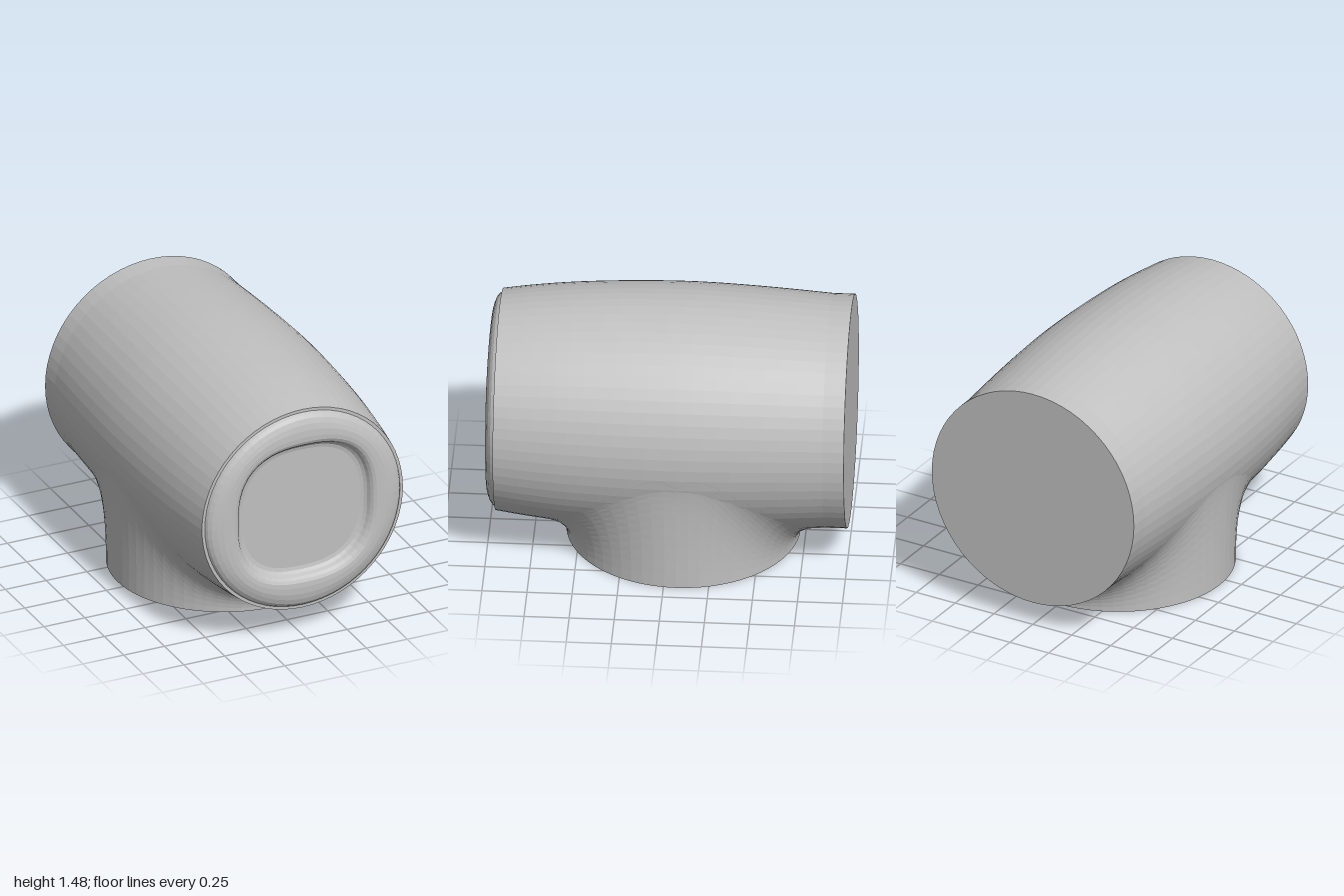
import * as THREE from 'three';
import { ParametricGeometry } from 'three/addons/geometries/ParametricGeometry.js';

const AXIS_Y = 0.786; // height of the barrel axis
const NECK_Z = -0.07; // centre of the neck along the barrel
const NECK_R = 0.65;
const SEGMENTS = 64;

const pts = (list) => list.map(([r, h]) => new THREE.Vector2(r, h));

// Barrel outline: radius against position along z
const outline = new THREE.SplineCurve(pts([
  [0.65, -0.88], [0.669, -0.6], [0.684, -0.3], [0.689, -0.05],
  [0.682, 0.25], [0.664, 0.55], [0.64, 0.78], [0.616, 0.95],
])).getPoints(24);

function barrelRadius(z) {
  if (z <= outline[0].y) return outline[0].x;
  for (let i = 1; i < outline.length; i++) {
    const a = outline[i - 1], b = outline[i];
    if (z <= b.y) return a.x + (b.x - a.x) * (z - a.y) / (b.y - a.y);
  }
  return outline[outline.length - 1].x;
}

// Height of the barrel's lower half above a point of the ground plan
function barrelUnderside(x, z) {
  const r = barrelRadius(z);
  return AXIS_Y - Math.sqrt(Math.max(0, r * r - x * x));
}

export function createModel() {
  const model = new THREE.Group();
  model.name = 'pipeTee';
  const grey = new THREE.MeshStandardMaterial({ color: 0xc0c0c0, flatShading: true });
  grey.name = 'light grey';

  function add(name, geometry) {
    const mesh = new THREE.Mesh(geometry, grey);
    mesh.name = name;
    model.add(mesh);
    return mesh;
  }

  // Barrel with a flat closed back
  const barrel = add('barrel', new THREE.LatheGeometry(
    [...pts([[0, -1], [0.65, -1]]), ...outline, ...pts([[0.585, 0.95]])], SEGMENTS));
  barrel.rotation.x = Math.PI / 2;
  barrel.position.y = AXIS_Y;

  // Front cap: rounded rim around a shallow, softly squared recess
  const capGeometry = new THREE.LatheGeometry(pts([
    [0.598, 0.95], [0.588, 0.966], [0.57, 0.98], [0.54, 0.991], [0.505, 0.998], [0.465, 1],
    [0.435, 0.998], [0.418, 0.99], [0.405, 0.975], [0.395, 0.955], [0.38, 0.942],
    [0.36, 0.937], [0, 0.937],
  ]), SEGMENTS);
  const p = capGeometry.attributes.position;
  for (let i = 0; i < p.count; i++) {
    const x = p.getX(i), z = p.getZ(i), r = Math.hypot(x, z);
    if (r < 1e-6) continue;
    const n = 2.6;
    const square = (Math.abs(x / r) ** n + Math.abs(z / r) ** n) ** (-1 / n);
    const weight = THREE.MathUtils.clamp((0.55 - r) / 0.12, 0, 1);
    const k = 1 + (square - 1) * weight;
    p.setX(i, x * k);
    p.setZ(i, z * k);
  }
  capGeometry.computeVertexNormals();
  const cap = add('frontCap', capGeometry);
  cap.rotation.x = Math.PI / 2;
  cap.position.y = AXIS_Y;

  // Neck: each section curves from the base circle into the barrel
  add('neck', new ParametricGeometry((u, v, target) => {
    const angle = -u * Math.PI * 2;
    const c = Math.cos(angle), s = Math.sin(angle);
    const x0 = NECK_R * c, z0 = NECK_Z + NECK_R * s;
    const flare = 0.15 + 0.07 * Math.abs(Math.sin(2 * angle));
    const x2 = (NECK_R + 0.03 + 0.08 * Math.abs(s)) * c;
    const z2 = NECK_Z + (NECK_R + flare) * s;
    const y1 = barrelUnderside(x0, z0), y2 = barrelUnderside(x2, z2);
    const a = (1 - v) * (1 - v), b = 2 * v * (1 - v), d = v * v;
    target.set((a + b) * x0 + d * x2, b * y1 + d * y2, (a + b) * z0 + d * z2);
  }, SEGMENTS, 12));

  // Underside of the neck with its round recess
  const base = add('neckBase', new THREE.LatheGeometry(
    pts([[0, 0.07], [0.4, 0.07], [0.4, 0], [NECK_R, 0]]), SEGMENTS));
  base.position.z = NECK_Z;

  return model;
}
